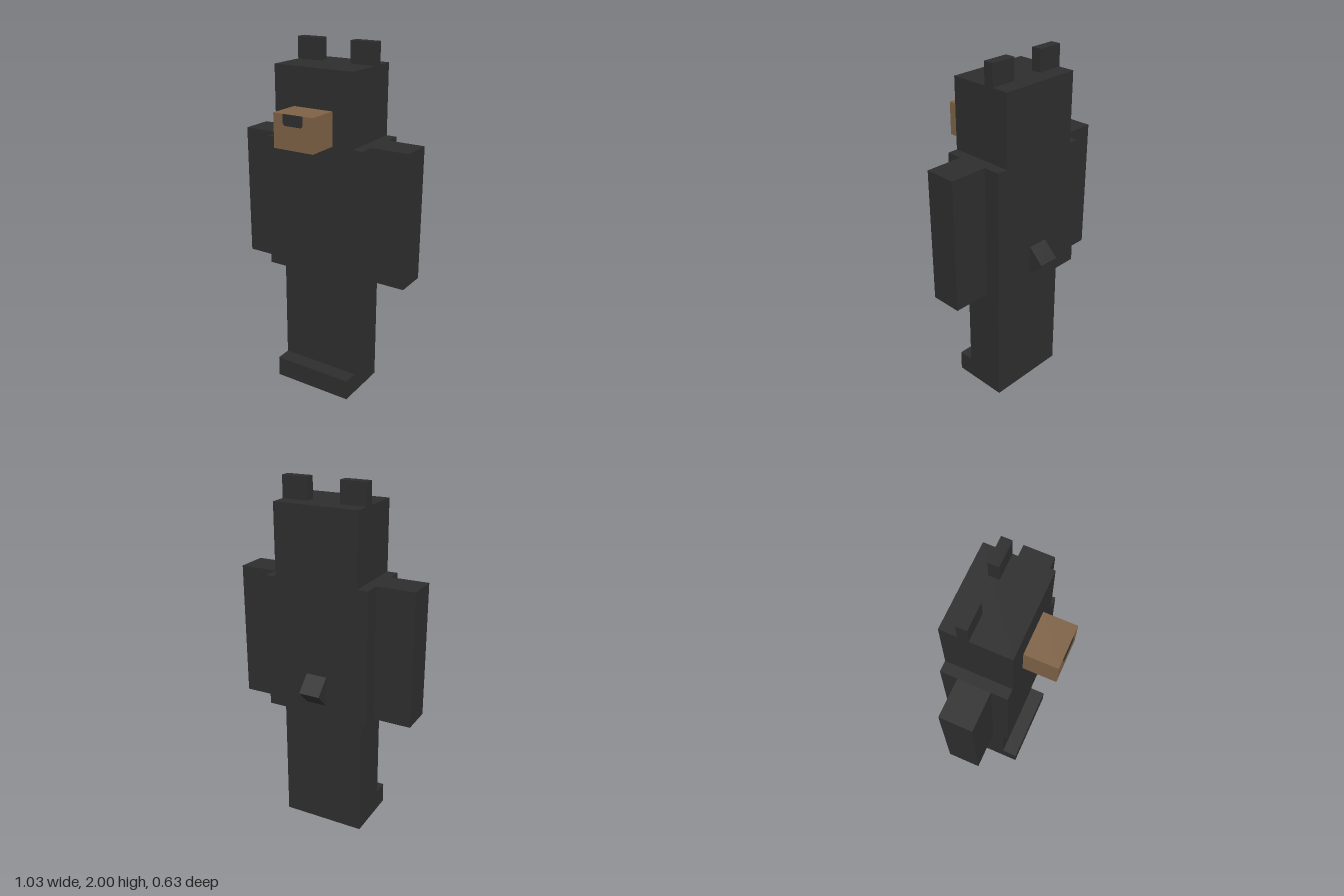
import * as THREE from 'three';

export function createModel() {
  const model = new THREE.Group();
  model.name = 'blockyBear';
  const fur = new THREE.MeshStandardMaterial({ color: 0x2e2e2e });
  fur.name = 'charcoal fur';
  const tan = new THREE.MeshStandardMaterial({ color: 0x7e6246 });
  tan.name = 'tan muzzle';

  // Box given by its extents on each axis
  function block(name, material, [x0, x1], [y0, y1], [z0, z1]) {
    const mesh = new THREE.Mesh(new THREE.BoxGeometry(x1 - x0, y1 - y0, z1 - z0), material);
    mesh.position.set((x0 + x1) / 2, (y0 + y1) / 2, (z0 + z1) / 2);
    mesh.name = name;
    model.add(mesh);
    return mesh;
  }

  // Legs and feet
  block('legs', fur, [-0.24, 0.24], [0.12, 0.73], [-0.165, 0.075]);
  block('feet', fur, [-0.24, 0.24], [0, 0.12], [-0.165, 0.165]);

  // Torso, head and muzzle
  block('torso', fur, [-0.3, 0.3], [0.73, 1.485], [-0.23, 0.135]);
  block('head', fur, [-0.24, 0.24], [1.485, 1.88], [-0.23, 0.135]);
  block('muzzle', tan, [-0.12, 0.12], [1.485, 1.67], [0.135, 0.315]);

  // Arms and ears, mirrored
  for (const [side, s] of [['left', 1], ['right', -1]]) {
    const span = (a, b) => (s > 0 ? [a, b] : [-b, -a]);
    block(side + 'Arm', fur, span(0.3, 0.515), [0.73, 1.485], [-0.135, 0.045]);
    block(side + 'Ear', fur, span(0.093, 0.24), [1.88, 2], [-0.137, -0.08]);
  }

  // Tail: a cube turned on edge, half sunk into the back
  const tail = block('tail', fur, [-0.06, 0.06], [0.82, 0.94], [-0.29, -0.17]);
  tail.rotation.x = Math.PI / 4;

  // Nose: thin plate with clipped lower corners
  const outline = [[-0.06, 1.67], [-0.06, 1.623], [-0.05, 1.61], [0.05, 1.61], [0.06, 1.623], [0.06, 1.67]];
  const shape = new THREE.Shape(outline.map(([x, y]) => new THREE.Vector2(x, y)));
  const nose = new THREE.Mesh(new THREE.ExtrudeGeometry(shape, { depth: 0.003, bevelEnabled: false }), fur);
  nose.position.z = 0.315;
  nose.name = 'nose';
  model.add(nose);

  return model;
}
